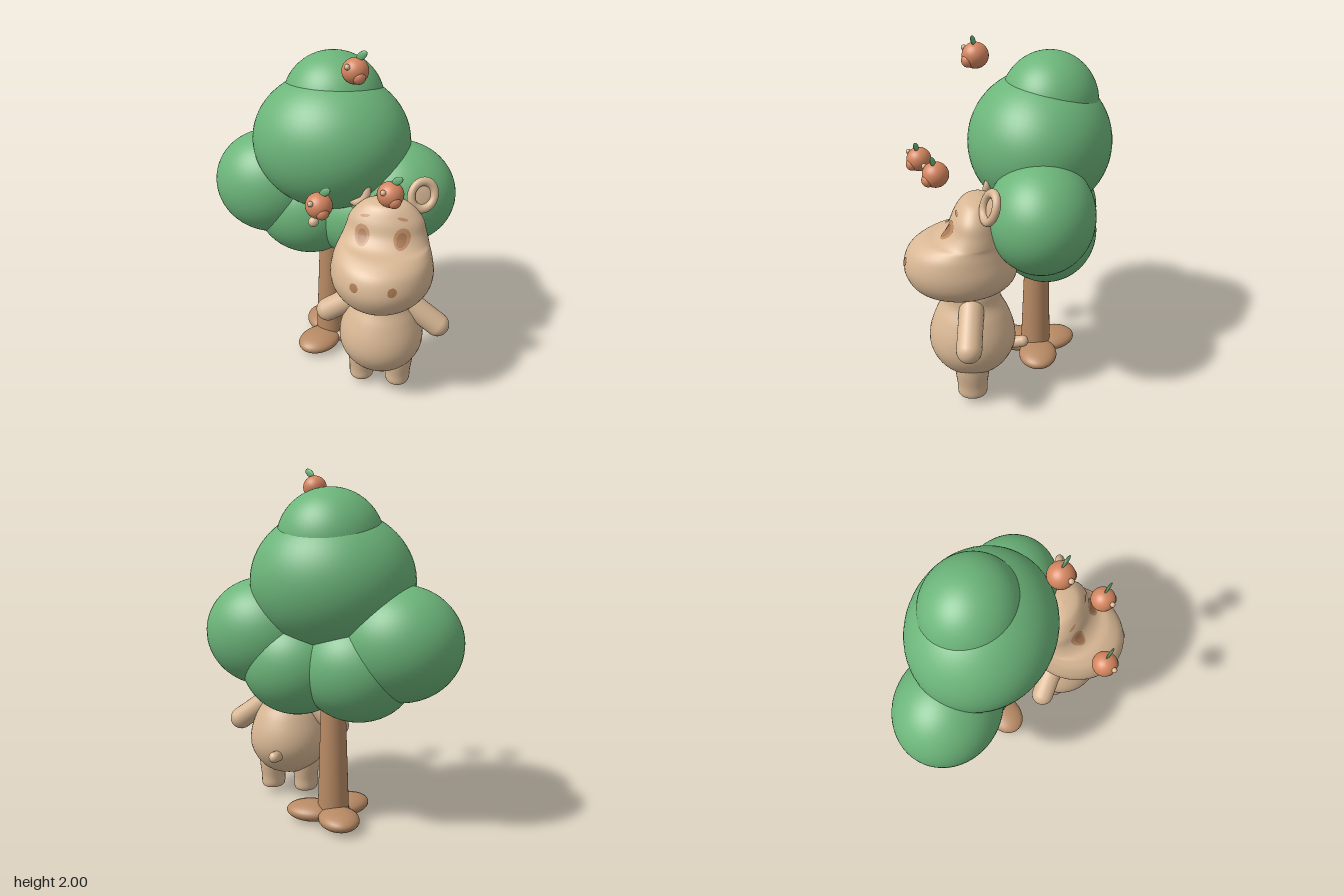
import * as THREE from 'three';

const paint = (name, color) => {
  const m = new THREE.MeshStandardMaterial({ color });
  m.name = name;
  return m;
};

export function createModel() {
  const model = new THREE.Group();
  model.name = 'animalUnderTree';
  const leafGreen = paint('leafGreen', 0x6cb57a);
  const bark = paint('bark', 0xb88a64);
  const hide = paint('hide', 0xd8b794);
  const marking = paint('marking', 0xbe8c66);
  const pupilBrown = paint('pupilBrown', 0xa97852);
  const fruitOrange = paint('fruitOrange', 0xd58660);

  const add = (name, geo, mat, pos = [0, 0, 0], parent = model) => {
    const m = new THREE.Mesh(geo, mat);
    m.name = name;
    m.position.set(...pos);
    parent.add(m);
    return m;
  };
  const blob = (name, mat, pos, radii, parent = model, detail = 40) => {
    const m = add(name, new THREE.SphereGeometry(1, detail, detail * 0.6), mat, pos, parent);
    m.scale.set(...radii);
    return m;
  };
  // Round-ended limb between two points
  const limb = (name, from, to, r, parent) => {
    const a = new THREE.Vector3(...from), b = new THREE.Vector3(...to);
    const d = b.clone().sub(a);
    const m = add(name, new THREE.CapsuleGeometry(r, d.length(), 10, 24), hide, a.add(b).multiplyScalar(0.5).toArray(), parent);
    m.quaternion.setFromUnitVectors(new THREE.Vector3(0, 1, 0), d.normalize());
    return m;
  };
  const lathe = (pts, n = 40) => new THREE.LatheGeometry(
    new THREE.SplineCurve(pts.map(p => new THREE.Vector2(...p))).getPoints(40)
      .map(p => new THREE.Vector2(Math.max(p.x, 0), p.y)), n);

  // Tree: canopy of overlapping blobs, trunk and three roots
  const tree = new THREE.Group();
  tree.name = 'tree';
  model.add(tree);
  [
    [[-0.025, 1.39, -0.17], [0.455, 0.395, 0.402]],
    [[-0.025, 1.61, -0.22], [0.29, 0.28, 0.27]],
    [[-0.41, 1.07, -0.223], [0.34, 0.315, 0.302]],
    [[0.365, 1.1, -0.18], [0.335, 0.305, 0.288]],
    [[-0.18, 0.93, -0.23], [0.325, 0.297, 0.288]],
    [[0.17, 0.935, -0.21], [0.31, 0.288, 0.28]],
  ].forEach(([p, r]) => blob('canopy', leafGreen, p, r, tree, 56));
  add('trunk', new THREE.CylinderGeometry(0.06, 0.09, 0.95, 32), bark, [-0.025, 0.535, -0.165], tree);
  [[0.1, -0.18, 0], [-0.07, -0.04, -2.1], [-0.085, -0.267, 2.1]].forEach(([x, z, turn]) => {
    blob('root', bark, [x, 0.065, z], [0.146, 0.055, 0.114], tree).rotation.y = turn;
  });
  blob('canopyKnob', hide, [-0.07, 0.98, 0.08], [0.03, 0.03, 0.03], tree, 20);

  // Animal body
  const CX = 0.36;
  const animal = new THREE.Group();
  animal.name = 'animal';
  model.add(animal);
  add('body', lathe([[0, 0.165], [0.1, 0.172], [0.175, 0.22], [0.222, 0.29], [0.24, 0.36],
    [0.232, 0.44], [0.2, 0.53], [0.16, 0.61], [0.14, 0.7], [0, 0.74]]), hide, [CX, 0, 0.193], animal);
  const legShape = lathe([[0, 0.045], [0.055, 0.047], [0.071, 0.065], [0.073, 0.12], [0.082, 0.2], [0.085, 0.28]], 28);
  for (const s of [-1, 1]) {
    add('leg', legShape, hide, [CX + s * 0.108, 0, 0.19], animal).scale.z = 1.15;
    limb('arm', [CX + s * 0.13, 0.605, 0.185], [CX + s * 0.318, 0.47, 0.185], 0.068, animal);
  }
  limb('tail', [CX, 0.31, 0], [CX, 0.325, -0.088], 0.033, animal);

  // Head: horizontal oval sections [y, half width, front z, back z]
  const rows = [
    [1.215, 0, 0.15, 0.15], [1.207, 0.075, 0.205, 0.105], [1.185, 0.135, 0.245, 0.07], [1.12, 0.197, 0.285, 0.04],
    [1.05, 0.22, 0.315, 0.015], [1.0, 0.237, 0.37, 0], [0.975, 0.248, 0.45, -0.01], [0.92, 0.268, 0.525, -0.03],
    [0.83, 0.281, 0.556, -0.055], [0.75, 0.262, 0.537, -0.045], [0.69, 0.205, 0.49, 0.02],
    [0.658, 0.12, 0.41, 0.13], [0.645, 0, 0.27, 0.27],
  ];
  const widths = new THREE.CatmullRomCurve3(rows.map(r => new THREE.Vector3(r[1], r[0], 0)), false, 'catmullrom');
  const depths = new THREE.CatmullRomCurve3(rows.map(r => new THREE.Vector3(r[2], r[3], 0)), false, 'catmullrom');
  const section = t => {
    const a = widths.getPoint(t), b = depths.getPoint(t);
    return { w: Math.max(a.x, 0), y: a.y, mid: (b.x + b.y) / 2, half: Math.max((b.x - b.y) / 2, 0) };
  };
  const N = 48, M = 60, pos = [], idx = [];
  for (let i = 0; i <= M; i++) {
    const s = section(i / M);
    for (let j = 0; j < N; j++) {
      const a = (j / N) * Math.PI * 2;
      pos.push(s.w * Math.sin(a), s.y, s.mid + s.half * Math.cos(a));
      if (i === M) continue;
      const k = (j + 1) % N, p = i * N, q = p + N;
      idx.push(p + j, q + j, q + k, p + j, q + k, p + k);
    }
  }
  const headGeo = new THREE.BufferGeometry();
  headGeo.setAttribute('position', new THREE.Float32BufferAttribute(pos, 3));
  headGeo.setIndex(idx);
  headGeo.computeVertexNormals();
  add('head', headGeo, hide, [CX, 0, 0], animal);

  // Front surface of the head at (x, y)
  const faceZ = (x, y) => {
    let lo = 0, hi = 1;
    for (let i = 0; i < 24; i++) {
      const t = (lo + hi) / 2;
      if (section(t).y > y) lo = t; else hi = t;
    }
    const s = section(lo);
    return s.mid + s.half * Math.sqrt(Math.max(0, 1 - (x / s.w) ** 2));
  };
  // Thin oval marking that follows the face
  const patch = (name, mat, x, y, rx, ry, lift, tilt = 0) => {
    const g = new THREE.RingGeometry(0.001, 1, 24, 5).scale(rx, ry, 1).rotateZ(tilt).translate(x, y, 0);
    const p = g.attributes.position;
    for (let i = 0; i < p.count; i++) p.setZ(i, faceZ(p.getX(i), p.getY(i)) + lift);
    g.computeVertexNormals();
    add(name, g, mat, [CX, 0, 0], animal);
  };
  for (const s of [-1, 1]) {
    patch('eye', marking, s * 0.107, 1.06, 0.043, 0.05, 0.005);
    patch('pupil', pupilBrown, s * 0.105, 1.055, 0.026, 0.034, 0.008);
    patch('eyebrow', marking, s * 0.1, 1.15, 0.028, 0.007, 0.005, -s * 0.25);
    patch('nostril', pupilBrown, s * 0.1, 0.87, 0.023, 0.024, 0.005);

    // Ear: rounded rim around a shallow cup
    const ear = new THREE.Group();
    ear.name = 'ear';
    ear.position.set(CX + s * 0.18, 1.218, 0.078);
    ear.rotation.set(-0.3, s * 0.45, -s * 0.2);
    animal.add(ear);
    add('earRim', new THREE.TorusGeometry(0.066, 0.022, 14, 36), hide, [0, 0, 0], ear).scale.y = 1.15;
    blob('earCup', hide, [0, 0, -0.012], [0.066, 0.076, 0.012], ear, 28);
  }

  // Floating fruits, each with a leaf, a stub and a small front bulge
  [[0.175, 1.9, 0.165], [0.07, 1.305, 0.495], [0.405, 1.34, 0.36]].forEach(p => {
    const fruit = new THREE.Group();
    fruit.name = 'fruit';
    fruit.position.set(...p);
    model.add(fruit);
    blob('fruitBody', fruitOrange, [0, 0, 0], [0.069, 0.067, 0.069], fruit, 32);
    blob('fruitBulge', fruitOrange, [0.025, -0.022, 0.034], [0.036, 0.036, 0.036], fruit, 20);
    blob('fruitStub', hide, [-0.028, 0.033, 0.06], [0.015, 0.015, 0.015], fruit, 16);
    blob('fruitLeaf', leafGreen, [0.033, 0.08, 0.008], [0.036, 0.02, 0.008], fruit, 20).rotation.set(0, -0.3, 0.65);
  });

  return model;
}
